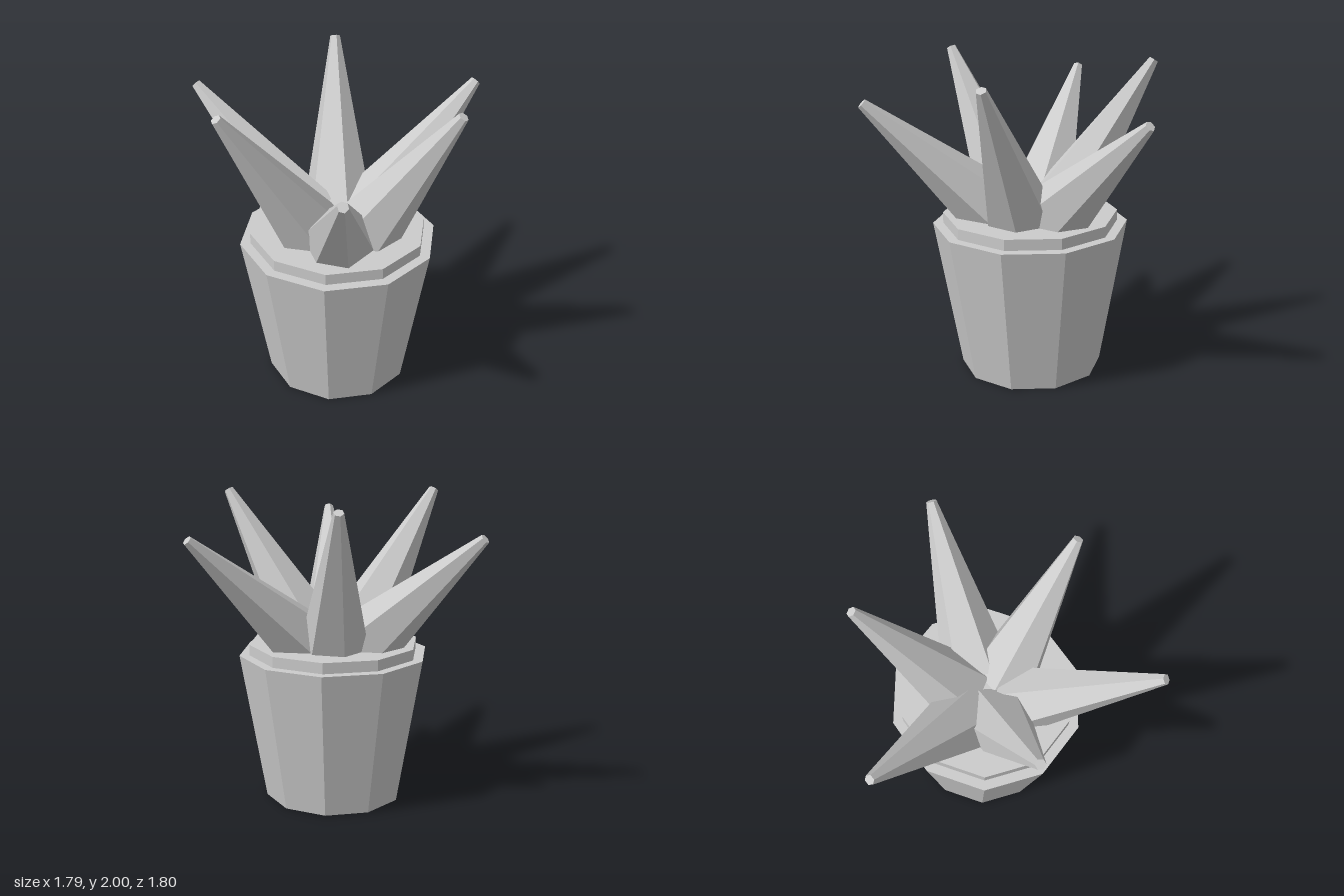
import * as THREE from 'three';

const rad = THREE.MathUtils.degToRad;

export function createModel() {
  const model = new THREE.Group();
  const material = new THREE.MeshStandardMaterial({ color: 0xcccccc, flatShading: true });

  // Everything is arranged around the pot's axis
  const plant = new THREE.Group();
  plant.name = 'pottedPlant';
  plant.position.set(0.11, 0, 0.11);
  model.add(plant);

  function add(name, geometry, parent = plant) {
    const mesh = new THREE.Mesh(geometry, material);
    mesh.name = name;
    parent.add(mesh);
    return mesh;
  }

  // Ten-sided tapered pot
  add('pot', new THREE.CylinderGeometry(0.62, 0.453, 0.97, 10)).position.y = 0.485;

  // Soil disc standing slightly above the rim
  add('soil', new THREE.CylinderGeometry(0.555, 0.555, 0.14, 10)).position.y = 0.97;

  // Six-sided tapered leaf, from a point near the soil centre out to its tip
  function addLeaf(name, yaw, base, tip) {
    const dr = tip.r - base.r, dy = tip.y - base.y;
    const length = Math.hypot(dr, dy);
    const geometry = new THREE.CylinderGeometry(0.032, 0.225, length, 6);
    geometry.rotateY(rad(15));
    geometry.translate(0, length / 2, 0);
    const pivot = new THREE.Group();
    pivot.name = name + 'Pivot';
    pivot.rotation.y = rad(yaw);
    plant.add(pivot);
    const leaf = add(name, geometry, pivot);
    leaf.position.set(0, base.y, base.r);
    leaf.rotation.x = Math.atan2(dr, dy);
  }

  // Alternating spreading and upright leaves
  for (let i = 0; i < 3; i++) {
    addLeaf('spreadingLeaf', 45 + i * 120, { r: 0.21, y: 1.04 }, { r: 1.02, y: 1.787 });
    addLeaf('uprightLeaf', 105 + i * 120, { r: 0.185, y: 1.05 }, { r: 0.79, y: 1.983 });
  }

  return model;
}
